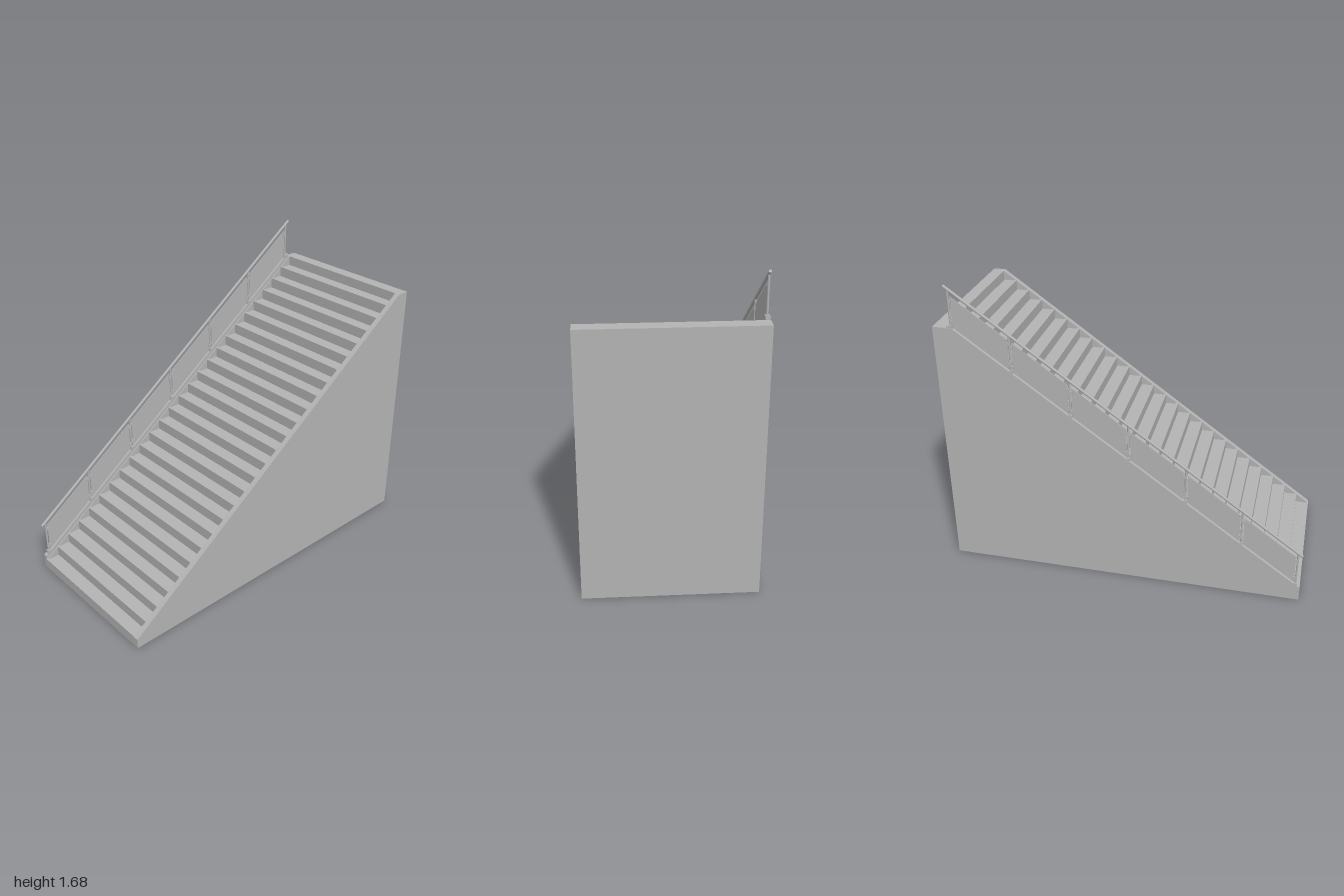
import * as THREE from 'three';

const STEPS = 26, TOP = 1.45, RISE = TOP / STEPS, RUN = 0.0772;
const SLOPE = RISE / RUN;
const BACK_Z = -0.437;
// height of the nosing line at x
const line = (x) => RISE + SLOPE * (x + 1);

export function createModel() {
  const model = new THREE.Group();
  model.name = 'staircase';
  const grey = new THREE.MeshStandardMaterial({ color: 0xb3b3b3 });
  grey.name = 'concrete grey';

  const add = (name, geometry, parent = model) => {
    const mesh = new THREE.Mesh(geometry, grey);
    mesh.name = name;
    parent.add(mesh);
    return mesh;
  };
  const box = (name, w, h, d, x, y, z, parent) => {
    const mesh = add(name, new THREE.BoxGeometry(w, h, d), parent);
    mesh.position.set(x, y, z);
    return mesh;
  };
  // outline in x and y, extruded between two z values
  const plate = (name, points, z0, z1, parent) => {
    const shape = new THREE.Shape(points.map(([x, y]) => new THREE.Vector2(x, y)));
    const geometry = new THREE.ExtrudeGeometry(shape, { depth: z1 - z0, bevelEnabled: false });
    return add(name, geometry.translate(0, 0, z0), parent);
  };
  // sloping strip that follows the stairs, with plumb ends
  const slopedPlate = (name, x0, x1, low, high, z0, z1, parent) => plate(name, [
    [x0, line(x0) + low], [x1, line(x1) + low], [x1, line(x1) + high], [x0, line(x0) + high],
  ], z0, z1, parent);

  // side walls and tall end wall, open underneath
  const landingX = -1 + RUN * (STEPS - 1);
  const side = [[-1, 0], [1, 0], [1, TOP], [landingX, TOP], [-1, RISE]];
  plate('frontSideWall', side, 0.42, 0.45);
  plate('backSideWall', side, -0.45, -0.42);
  box('endWall', 0.03, TOP, 0.84, 0.985, TOP / 2, 0);

  // folded sheet of risers and treads, ending in the landing
  const upper = [], lower = [], t = 0.006;
  for (let i = 0; i < STEPS; i++) {
    const x = -1 + i * RUN;
    upper.push([x, i * RISE], [x, (i + 1) * RISE]);
    lower.push([x + t, i === 0 ? 0 : i * RISE - t], [x + t, (i + 1) * RISE - t]);
  }
  upper.push([0.97, TOP]);
  lower.push([0.97, TOP - t]);
  plate('steps', [...upper, ...lower.reverse()].reverse(), -0.42, 0.42);

  // raised strip along each nosing
  const nosings = new THREE.Group();
  nosings.name = 'nosings';
  model.add(nosings);
  for (let i = 0; i < STEPS - 1; i++) {
    box('nosing', 0.016, 0.004, 0.84, -1 + i * RUN + 0.008, (i + 1) * RISE + 0.002, 0, nosings);
  }

  // railing on the back wall
  const railing = new THREE.Group();
  railing.name = 'railing';
  model.add(railing);
  slopedPlate('railingBase', -1, 0.92, -0.005, 0.025, -0.45, -0.426, railing);

  const x0 = -0.998, x1 = 0.922, railOffset = 0.233;
  const rail = new THREE.LineCurve3(
    new THREE.Vector3(x0, line(x0) + railOffset, BACK_Z),
    new THREE.Vector3(x1, line(x1) + railOffset, BACK_Z),
  );
  add('handrail', new THREE.TubeGeometry(rail, 1, 0.008, 12), railing);
  for (const [x, turn] of [[x0, -Math.PI / 2], [x1, Math.PI / 2]]) {
    const cap = add('handrailCap', new THREE.CircleGeometry(0.008, 12), railing);
    cap.position.set(x, line(x) + railOffset, BACK_Z);
    cap.rotation.set(0, turn, Math.atan(SLOPE), 'ZYX');
  }

  // posts with clamps, and panels between them
  const POSTS = 7, FIRST = -0.975, GAP = 0.3125;
  for (let i = 0; i < POSTS; i++) {
    const x = FIRST + i * GAP, y = line(x);
    const post = add('post', new THREE.CylinderGeometry(0.006, 0.006, 0.215, 10), railing);
    post.position.set(x, y + 0.1225, BACK_Z);
    box('postFoot', 0.02, 0.02, 0.022, x, y + 0.026, BACK_Z, railing);
    for (const h of [0.06, 0.175]) {
      if (i > 0) box('clamp', 0.016, 0.018, 0.012, x - 0.008, y + h - 0.008, BACK_Z, railing);
      if (i < POSTS - 1) box('clamp', 0.016, 0.018, 0.012, x + 0.008, y + h + 0.008, BACK_Z, railing);
    }
    if (i < POSTS - 1) {
      slopedPlate('panel', x + 0.01, x + GAP - 0.01, 0.03, 0.2, BACK_Z - 0.002, BACK_Z + 0.002, railing);
    }
  }
  return model;
}
